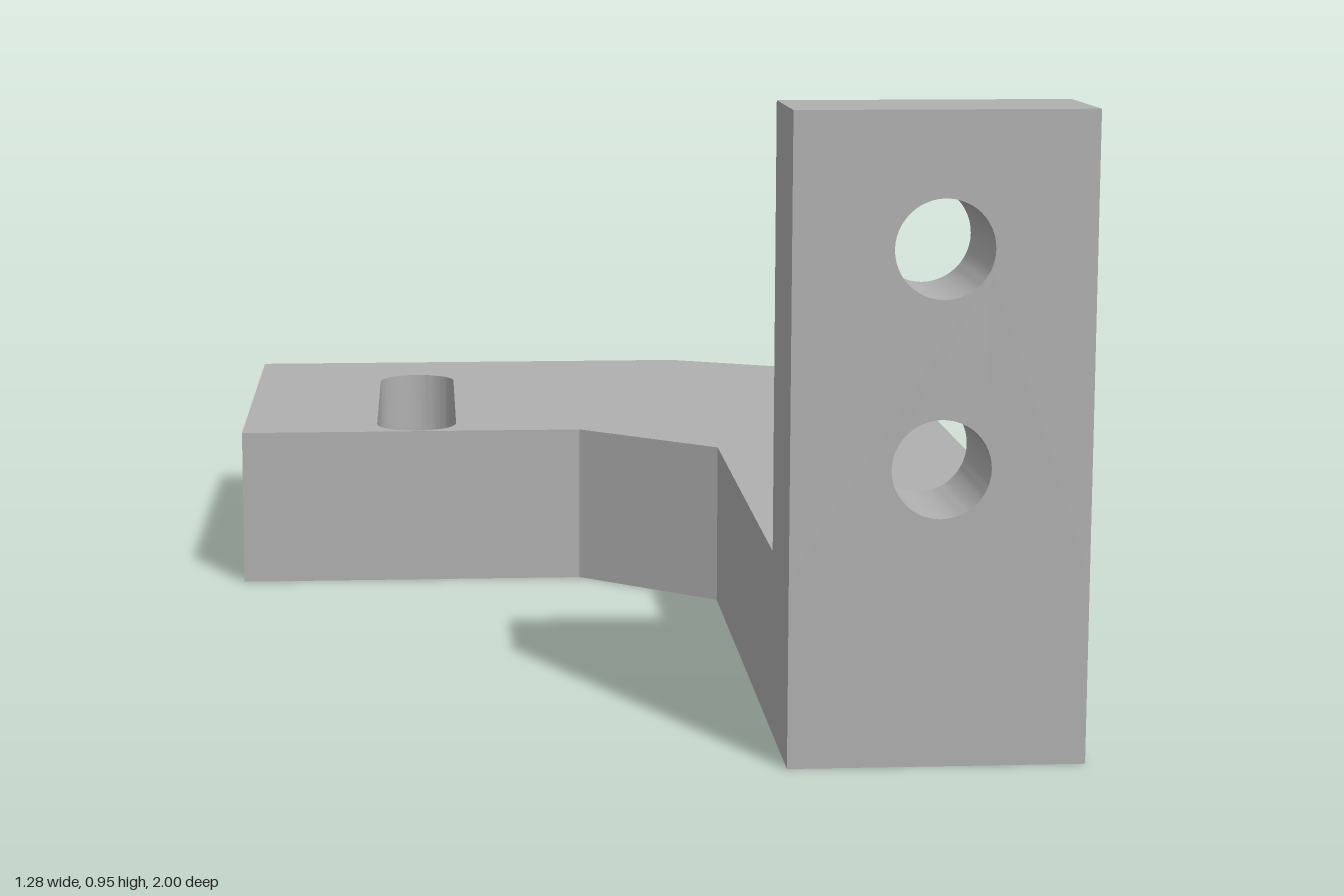
import * as THREE from 'three';
import { toCreasedNormals } from 'three/addons/utils/BufferGeometryUtils.js';

const BASE_HEIGHT = 0.277;
const TOP = 0.95;
const ARM_LEFT = 0.64, ARM_RIGHT = 0.205;

// Outline with holes pushed out to a thickness; round walls smooth, edges sharp
function plate(points, holes, depth) {
  const shape = new THREE.Shape(points.map(([x, y]) => new THREE.Vector2(x, y)));
  shape.holes.push(...holes);
  const geometry = new THREE.ExtrudeGeometry(shape, { depth, bevelEnabled: false, curveSegments: 24 });
  return toCreasedNormals(geometry, 0.35);
}

function roundHole(x, y, r) {
  return new THREE.Path().absarc(x, y, r, 0, Math.PI * 2, true);
}

// Slot with rounded ends, running along y between the two arc centres
function slotHole(x, y0, y1, r) {
  const path = new THREE.Path();
  path.absarc(x, y1, r, 0, Math.PI, false);
  path.absarc(x, y0, r, Math.PI, Math.PI * 2, false);
  path.closePath();
  return path;
}

export function createModel() {
  const group = new THREE.Group();
  group.name = 'bracket';
  const grey = new THREE.MeshStandardMaterial({ color: 0xb0b0b0 });
  grey.name = 'grey metal';

  // Base: slotted foot and long arm, drawn in plan with y pointing to the back
  const baseGeometry = plate(
    [
      [ARM_RIGHT, -1], [ARM_LEFT, -1], [ARM_LEFT, 0.8], [0.205, 1],
      [-0.645, 1], [-0.645, 0.21], [-0.03, 0.21], [ARM_RIGHT, 0.02],
    ],
    [slotHole(-0.328, 0.289, 0.765, 0.073)],
    BASE_HEIGHT
  );
  baseGeometry.rotateX(-Math.PI / 2);
  const base = new THREE.Mesh(baseGeometry, grey);
  base.name = 'slottedBase';
  group.add(base);

  // Upright tab with two bolt holes at the front end of the arm
  const uprightGeometry = plate(
    [[ARM_RIGHT, BASE_HEIGHT], [ARM_LEFT, BASE_HEIGHT], [ARM_LEFT, TOP], [ARM_RIGHT, TOP]],
    [0.437, 0.753].map((y) => roundHole(0.4225, y, 0.072)),
    0.195
  );
  const upright = new THREE.Mesh(uprightGeometry, grey);
  upright.name = 'uprightTab';
  upright.position.z = 0.805;
  group.add(upright);

  return group;
}
